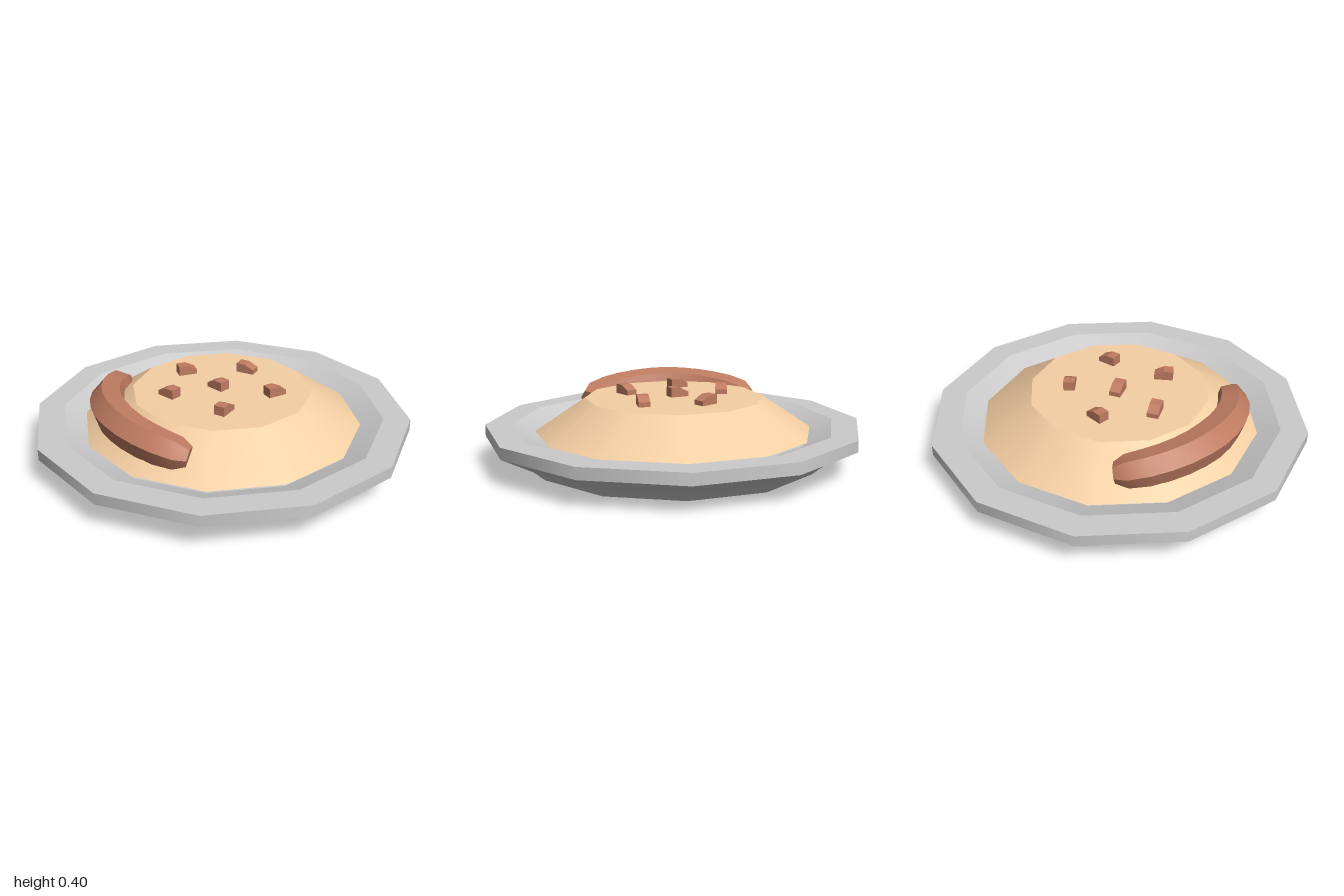
import * as THREE from 'three';
import { mergeGeometries, toCreasedNormals } from 'three/addons/utils/BufferGeometryUtils.js';

const SIDES = 12;

// Lathe with one band per profile segment, so profile edges stay sharp
function bandedLathe(profile) {
  const bands = [];
  for (let i = 0; i < profile.length - 1; i++) {
    const pair = [profile[i], profile[i + 1]].map(([r, y]) => new THREE.Vector2(r, y));
    bands.push(new THREE.LatheGeometry(pair, SIDES));
  }
  return mergeGeometries(bands);
}

// Curved hexagonal sausage, built from rings along an arc
function sausageGeometry() {
  const R = 0.584, radius = 0.1, n = 6;
  const rings = [[-0.91, 0.55], [-0.81, 0.85]];
  for (let i = -4; i <= 4; i++) rings.push([i * 0.16, 1 - 0.02 * Math.abs(i)]);
  rings.push([0.81, 0.85], [0.91, 0.55]);

  const pos = [], idx = [];
  for (const [a, s] of rings) {
    for (let k = 0; k < n; k++) {
      const t = (k / n) * Math.PI * 2;
      const r = R + radius * s * Math.cos(t);
      pos.push(R - r * Math.cos(a), radius * s * Math.sin(t), r * Math.sin(a));
    }
  }
  for (let i = 0; i < rings.length - 1; i++) {
    for (let k = 0; k < n; k++) {
      const a = i * n + k, b = i * n + (k + 1) % n;
      idx.push(a, a + n, b, b, a + n, b + n);
    }
  }
  const last = (rings.length - 1) * n;
  for (let k = 1; k < n - 1; k++) {
    idx.push(0, k, k + 1);
    idx.push(last, last + k + 1, last + k);
  }
  const g = new THREE.BufferGeometry();
  g.setAttribute('position', new THREE.Float32BufferAttribute(pos, 3));
  g.setIndex(idx);
  return toCreasedNormals(g, 0.55);
}

// Small meat chunk whose top slopes down on one half
function chunkGeometry() {
  const shape = new THREE.Shape([
    [-0.05, -0.02], [0.05, -0.02], [0.05, 0.025], [0, 0.05], [-0.05, 0.05],
  ].map(([x, y]) => new THREE.Vector2(x, y)));
  return new THREE.ExtrudeGeometry(shape, { depth: 0.06, bevelEnabled: false })
    .translate(0, 0, -0.03);
}

export function createModel() {
  const model = new THREE.Group();
  const grey = new THREE.MeshStandardMaterial({ color: 0xcccccc, side: THREE.DoubleSide });
  const mash = new THREE.MeshStandardMaterial({ color: 0xf5cfa3, side: THREE.DoubleSide });
  const meat = new THREE.MeshStandardMaterial({ color: 0xbf7c61, side: THREE.DoubleSide });

  const add = (name, geometry, material) => {
    const mesh = new THREE.Mesh(geometry, material);
    mesh.name = name;
    model.add(mesh);
    return mesh;
  };

  // Plate: foot, flared underside, rim and shallow well
  add('plate', bandedLathe([
    [0, 0], [0.77, 0], [0.83, 0.05], [1, 0.14], [1, 0.2],
    [0.86, 0.2], [0.72, 0.14], [0, 0.14],
  ]), grey);

  // Flat-topped mound of food
  add('foodMound', bandedLathe([[0.74, 0.16], [0.475, 0.337], [0, 0.337]]), mash);

  // Sausage leaning on the right flank of the mound
  const sausage = add('sausage', sausageGeometry(), meat);
  sausage.position.set(-0.6, 0.3, 0);
  sausage.rotation.z = -0.22;

  // Chunks scattered on top: x, z, turn
  const chunk = chunkGeometry();
  [
    [-0.09, -0.265, -0.1], [0.22, -0.145, -0.9], [-0.28, -0.04, 1.99],
    [-0.01, -0.02, 1.94], [0.225, 0.175, 0.1], [-0.1, 0.25, 0.6],
  ].forEach(([x, z, turn], i) => {
    const mesh = add(`meatChunk${i + 1}`, chunk, meat);
    mesh.position.set(x, 0.337, z);
    mesh.rotation.y = turn;
  });

  return model;
}
